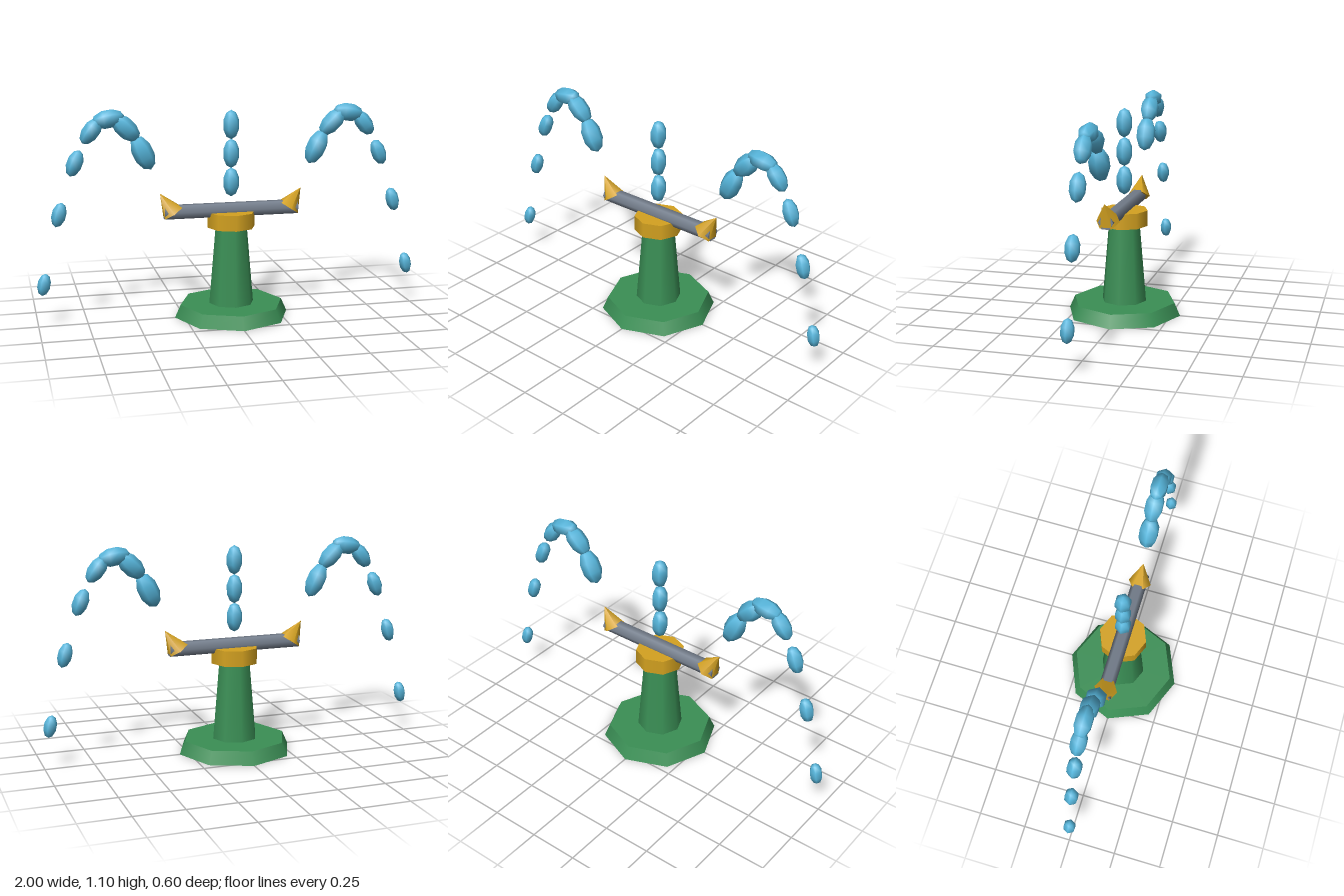
import * as THREE from 'three';

const mat = (name, color) => {
  const m = new THREE.MeshStandardMaterial({ color });
  m.name = name;
  return m;
};

export function createModel() {
  const green = mat('green', 0x3a8f55);
  const gold = mat('gold', 0xd4a220);
  const grey = mat('grey', 0x76808e);
  const water = mat('water blue', 0x56b6dc);

  const model = new THREE.Group();
  model.name = 'sprinkler';

  const add = (name, geometry, material, x, y, tilt = 0) => {
    const mesh = new THREE.Mesh(geometry, material);
    mesh.name = name;
    mesh.position.set(x, y, 0);
    mesh.rotation.z = -tilt; // tilt leans the top towards +x
    model.add(mesh);
    return mesh;
  };

  // Stand: octagonal foot, tapered column and collar
  add('base', new THREE.CylinderGeometry(0.27, 0.3, 0.067, 8), green, 0, 0.0335);
  add('column', new THREE.CylinderGeometry(0.083, 0.118, 0.41, 8), green, 0, 0.265);
  add('collar', new THREE.CylinderGeometry(0.124, 0.124, 0.081, 8), gold, 0, 0.511);

  // Rotating arm
  add('arm', new THREE.CylinderGeometry(0.039, 0.039, 0.7, 6), grey, 0, 0.562, Math.PI / 2);

  // Water drops: stretched low-poly spheres
  const dropGeometry = new THREE.SphereGeometry(1, 6, 5);
  const drop = (name, x, y, size, tilt) =>
    add(name, dropGeometry, water, x, y, tilt).scale.set(0.054 * size, 0.094 * size, 0.054 * size);

  // Arc heights at equal steps outwards
  const heights = [0.872, 1.0, 1.047, 0.99, 0.832, 0.575, 0.22];
  const step = 0.0855;

  for (const side of [1, -1]) {
    const prefix = side > 0 ? 'left' : 'right';
    // Nozzle at the end of the arm
    add(prefix + 'Nozzle', new THREE.ConeGeometry(0.06, 0.12, 6), gold, side * 0.338, 0.61, side * 0.575);
    // Jet whose drops shrink and follow the arc
    heights.forEach((y, i) => {
      const slope = 0.18 - 0.097 * i;
      drop(`${prefix}Drop${i + 1}`, side * (0.453 + step * i), y,
        1 - 0.38 * i / 6, side * Math.atan2(step, slope));
    });
  }

  // Upright central jet
  for (let i = 0; i < 3; i++) drop(`centreDrop${i + 1}`, 0, 0.705 + 0.148 * i, 0.8, 0);

  return model;
}
